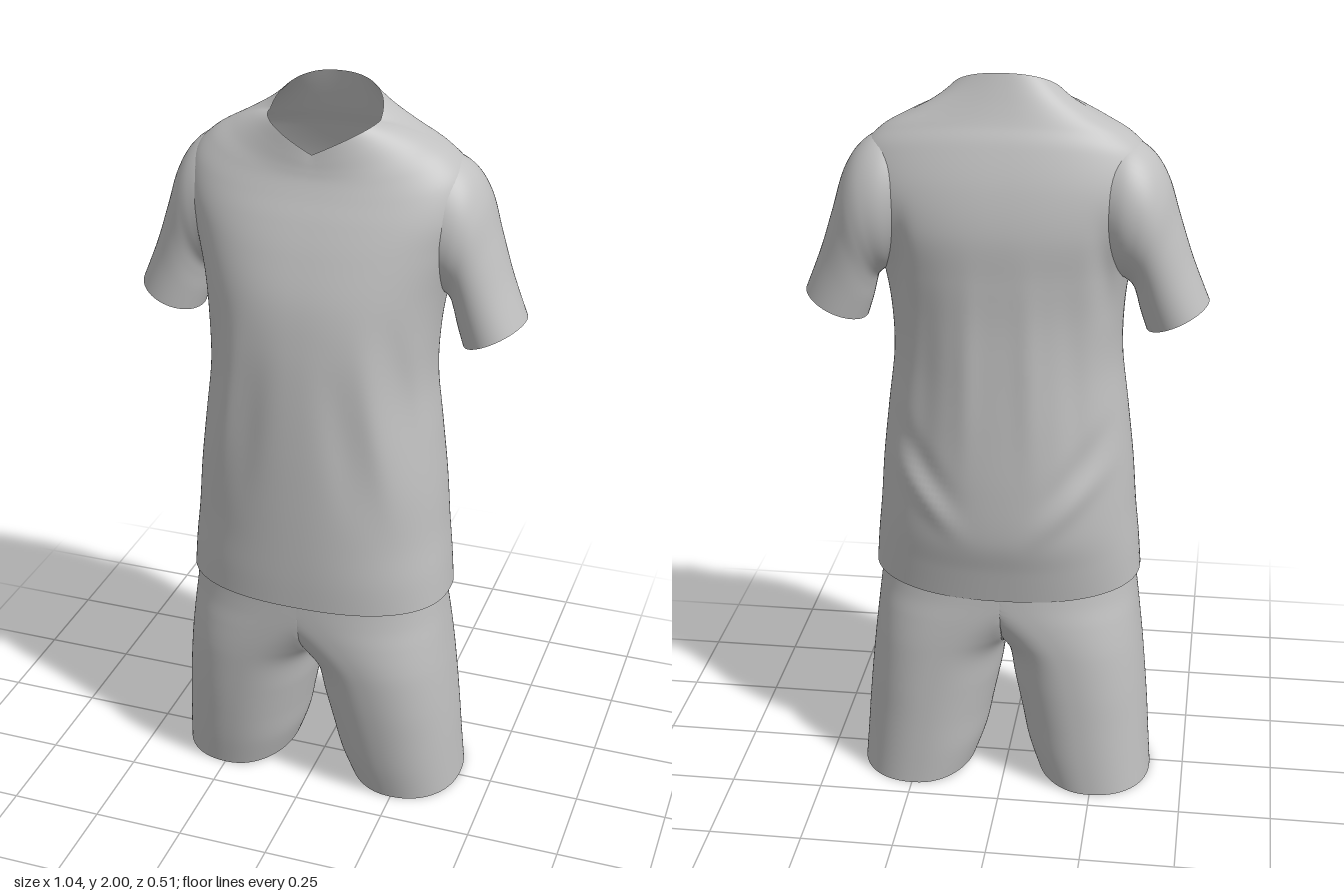
import * as THREE from 'three';

const fabric = new THREE.MeshStandardMaterial({ color: 0xc0c0c0, side: THREE.DoubleSide });
fabric.name = 'grey fabric';

// signed power, for rounded-square cross-sections
const spow = (v, e) => Math.sign(v) * Math.pow(Math.abs(v), e);

// smooth interpolation through a list of parameter rows
function sampleRows(rows, t) {
  const f = t * (rows.length - 1);
  const i = Math.min(Math.floor(f), rows.length - 2);
  const u = f - i;
  const at = (k) => rows[Math.max(0, Math.min(rows.length - 1, k))];
  return rows[i].map((p1, k) => {
    const p0 = at(i - 1)[k], p2 = at(i + 1)[k], p3 = at(i + 2)[k];
    return 0.5 * (2 * p1 + (p2 - p0) * u + (2 * p0 - 5 * p1 + 4 * p2 - p3) * u * u
      + (3 * p1 - p0 - 3 * p2 + p3) * u * u * u);
  });
}

// open tube: point(row, angle) gives each vertex of a ring; faces lying in the plane x = 0 are left out
function loft(name, rows, point, { steps = 60, sides = 80, mirror = false } = {}) {
  const pos = [], index = [];
  for (let j = 0; j <= steps; j++) {
    const row = sampleRows(rows, j / steps);
    for (let i = 0; i < sides; i++) {
      const [x, y, z] = point(row, (i / sides) * Math.PI * 2);
      pos.push(mirror ? -x : x, y, z);
    }
  }
  const addFace = (a, b, c) => {
    if ([a, b, c].every((k) => Math.abs(pos[k * 3]) < 1e-6)) return;
    if (mirror) index.push(a, c, b);
    else index.push(a, b, c);
  };
  for (let j = 0; j < steps; j++) {
    for (let i = 0; i < sides; i++) {
      const a = j * sides + i, b = j * sides + (i + 1) % sides;
      addFace(a, a + sides, b);
      addFace(b, a + sides, b + sides);
    }
  }
  const g = new THREE.BufferGeometry();
  g.setAttribute('position', new THREE.Float32BufferAttribute(pos, 3));
  g.setIndex(index);
  g.computeVertexNormals();
  const mesh = new THREE.Mesh(g, fabric);
  mesh.name = name;
  return mesh;
}

// cloth folds: x0, y0, x1, y1, width, height (mirrored on x), fading at both ends
const frontFolds = [
  [0.15, 1.52, 0.27, 0.80, 0.035, 0.010],
  [0.22, 1.52, 0.30, 0.95, 0.030, -0.014],
  [0.08, 1.45, 0.17, 0.85, 0.040, -0.006],
];
const backFolds = [
  [0.25, 1.72, 0.27, 1.32, 0.025, -0.012],
  [0.07, 1.65, 0.09, 0.85, 0.030, 0.006],
  [0.17, 1.60, 0.21, 0.85, 0.035, -0.007],
  [0.06, 0.76, 0.34, 1.05, 0.030, 0.010],
  [0.08, 0.84, 0.32, 1.15, 0.030, -0.008],
];
function foldHeight(folds, x, y) {
  let h = 0;
  for (const [x0, y0, x1, y1, w, amp] of folds) {
    const dx = x1 - x0, dy = y1 - y0;
    const t = ((Math.abs(x) - x0) * dx + (y - y0) * dy) / (dx * dx + dy * dy);
    const u = Math.max(0, Math.min(1, t));
    const d = Math.hypot(Math.abs(x) - x0 - u * dx, y - y0 - u * dy);
    h += amp * Math.sin(Math.PI * u) ** 2 * Math.exp(-(d * d) / (w * w));
  }
  return h;
}

// shirt body rings: half width, side y, side z, front y, front z, back y, back z, squareness, V shape of collar
const bodyRows = [
  [0.362, 0.63, 0, 0.635, 0.245, 0.60, -0.205, 2.4, 0],
  [0.355, 0.72, 0, 0.72, 0.250, 0.69, -0.224, 2.35, 0],
  [0.345, 0.82, 0, 0.82, 0.253, 0.79, -0.246, 2.25, 0],
  [0.335, 0.95, 0, 0.95, 0.255, 0.93, -0.250, 2.2, 0],
  [0.318, 1.10, 0, 1.10, 0.255, 1.09, -0.245, 2.2, 0],
  [0.300, 1.25, 0, 1.25, 0.251, 1.25, -0.238, 2.25, 0],
  [0.302, 1.38, -0.01, 1.38, 0.242, 1.38, -0.234, 2.3, 0],
  [0.318, 1.50, -0.03, 1.50, 0.224, 1.50, -0.236, 2.35, 0],
  [0.350, 1.62, -0.05, 1.61, 0.190, 1.62, -0.238, 2.4, 0],
  [0.374, 1.71, -0.06, 1.69, 0.158, 1.73, -0.220, 2.4, 0],
  [0.362, 1.79, -0.06, 1.745, 0.132, 1.83, -0.187, 2.35, 0],
  [0.315, 1.845, -0.055, 1.785, 0.115, 1.88, -0.163, 2.3, 0],
  [0.250, 1.882, -0.045, 1.81, 0.108, 1.92, -0.147, 2.3, 0.1],
  [0.190, 1.908, -0.025, 1.83, 0.104, 1.96, -0.133, 2.3, 0.5],
  [0.143, 1.922, 0, 1.85, 0.100, 2.00, -0.120, 2.3, 1],
];
function bodyPoint([w, ys, zs, yf, zf, yb, zb, n, v], a) {
  const c = spow(Math.cos(a), 2 / n), s = spow(Math.sin(a), 2 / n);
  const front = s > 0;
  const x = w * c;
  const sharp = front ? 1 - Math.abs(c) : Math.abs(s);
  const y = ys + ((front ? yf : yb) - ys) * ((1 - v) * s * s + v * sharp);
  const z = zs + (front ? zf - zs : zs - zb) * s;
  const h = foldHeight(front ? frontFolds : backFolds, x, y) * Math.min(1, Math.abs(s) * 2);
  return [x, y, z + (front ? h : -h)];
}

// sleeve rings, shoulder to cuff: top x, top y, underside x, underside y, front z, back z
const sleeveRows = [
  [0.230, 1.830, 0.260, 1.52, 0.055, -0.178],
  [0.305, 1.838, 0.292, 1.49, 0.074, -0.200],
  [0.365, 1.805, 0.315, 1.475, 0.072, -0.202],
  [0.408, 1.740, 0.328, 1.46, 0.064, -0.195],
  [0.440, 1.640, 0.336, 1.435, 0.058, -0.183],
  [0.476, 1.530, 0.346, 1.395, 0.055, -0.173],
  [0.520, 1.420, 0.362, 1.345, 0.055, -0.165],
];
function sleevePoint([xt, yt, xb, yb, zf, zb], a) {
  const c = Math.cos(a), s = Math.sin(a);
  return [
    (xt + xb) / 2 + c * (xt - xb) / 2,
    (yt + yb) / 2 + c * (yt - yb) / 2,
    (zf + zb) / 2 - s * (zf - zb) / 2,
  ];
}

// shorts half, hem to waist: y, centre x, outer width, inner width, front z, back z, squareness, inner lift
const legRows = [
  [0.005, 0.247, 0.160, 0.157, 0.160, -0.200, 2.2, 0.02],
  [0.10, 0.230, 0.170, 0.170, 0.181, -0.202, 2.2, 0.01],
  [0.20, 0.215, 0.178, 0.174, 0.198, -0.203, 2.2, 0],
  [0.30, 0.200, 0.184, 0.180, 0.212, -0.204, 2.25, 0],
  [0.40, 0.175, 0.199, 0.175, 0.223, -0.204, 2.3, 0],
  [0.46, 0.145, 0.222, 0.195, 0.228, -0.204, 2.35, 0],
  [0.52, 0.095, 0.265, 0.225, 0.231, -0.203, 2.4, 0],
  [0.58, 0.035, 0.318, 0.290, 0.233, -0.201, 2.4, 0],
  [0.64, 0, 0.347, 0.347, 0.234, -0.200, 2.4, 0],
  [0.70, 0, 0.340, 0.340, 0.235, -0.200, 2.4, 0],
];
function legPoint([y, cx, wo, wi, zf, zb, n, lift], a) {
  const c = spow(Math.cos(a), 2 / n), s = spow(Math.sin(a), 2 / n);
  // above the crotch the halves meet at the centre plane
  const x = Math.max(0, cx + c * (c > 0 ? wo : wi));
  return [x, y + (c < 0 ? lift * c * c : 0), (zf + zb) / 2 + s * (zf - zb) / 2];
}

export function createModel() {
  const model = new THREE.Group();
  model.name = 'sportsOutfit';

  const shirt = new THREE.Group();
  shirt.name = 'shirt';
  shirt.add(loft('shirtBody', bodyRows, bodyPoint, { steps: 112, sides: 144 }));

  const shorts = new THREE.Group();
  shorts.name = 'shorts';

  for (const mirror of [false, true]) {
    const side = mirror ? 'right' : 'left';
    shirt.add(loft(side + 'Sleeve', sleeveRows, sleevePoint, { steps: 42, sides: 56, mirror }));
    shorts.add(loft(side + 'ShortsHalf', legRows, legPoint, { steps: 72, sides: 120, mirror }));
  }

  model.add(shirt, shorts);
  return model;
}
